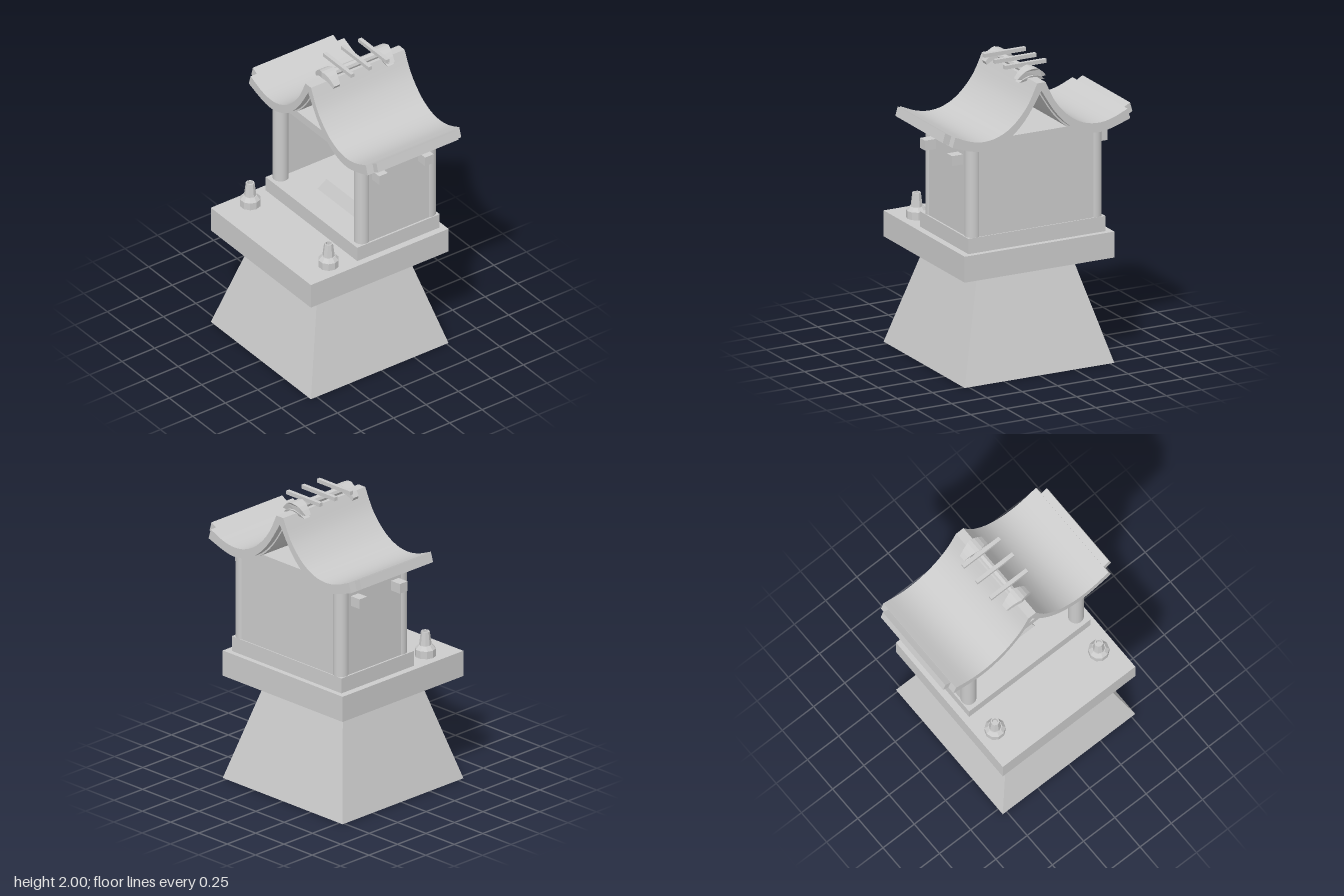
import * as THREE from 'three';
import { mergeVertices, toCreasedNormals } from 'three/addons/utils/BufferGeometryUtils.js';

const mat = new THREE.MeshStandardMaterial({ color: 0xcccccc });
const flat = new THREE.MeshStandardMaterial({ color: 0xcccccc, flatShading: true });

export function createModel() {
  const root = new THREE.Group();
  const add = (name, geo, m = mat) => {
    const mesh = new THREE.Mesh(geo, m);
    mesh.name = name;
    root.add(mesh);
    return mesh;
  };
  // box given by its min and max on each axis
  const box = (name, x0, x1, y0, y1, z0, z1) =>
    add(name, new THREE.BoxGeometry(x1 - x0, y1 - y0, z1 - z0)
      .translate((x0 + x1) / 2, (y0 + y1) / 2, (z0 + z1) / 2));
  // square frustum: half width at the bottom and at the top
  const frustum = (name, x, y0, y1, bottom, top) => {
    const g = new THREE.CylinderGeometry(top * Math.SQRT2, bottom * Math.SQRT2, y1 - y0, 4);
    return add(name, g.rotateY(Math.PI / 4).translate(x, (y0 + y1) / 2, 0), flat);
  };
  // closed outline of [z, y] points, extruded along x
  const extrudeX = (pts, x0, x1) => {
    const shape = new THREE.Shape(pts.map(([z, y]) => new THREE.Vector2(-z, y)));
    const g = new THREE.ExtrudeGeometry(shape, { depth: x1 - x0, bevelEnabled: false });
    return g.rotateY(Math.PI / 2).translate(x0, 0, 0);
  };

  // Pedestal, platform and plinth
  frustum('pedestal', -0.015, 0, 0.69, 0.53, 0.33);
  box('platform', -0.545, 0.515, 0.69, 0.86, -0.53, 0.53);
  box('plinth', -0.155, 0.48, 0.86, 0.96, -0.485, 0.485);
  frustum('innerStep', 0.22, 0.96, 1.04, 0.19, 0.15);

  // Hall: corner posts, three walls, open on the right
  for (const x of [-0.08, 0.43]) {
    for (const z of [-0.43, 0.43]) {
      add('post', new THREE.CylinderGeometry(0.05, 0.05, 0.6, 24).translate(x, 1.26, z));
    }
  }
  for (const s of [-1, 1]) {
    const z = s * 0.453;
    box('sideWall', -0.08, 0.43, 0.96, 1.55, z - 0.02, z + 0.02);
    for (const x of [0, 0.353]) box('beamEnd', x - 0.033, x + 0.033, 1.42, 1.485, s * 0.5 - 0.05, s * 0.5 + 0.05);
  }
  box('endWall', 0.433, 0.473, 0.96, 1.585, -0.43, 0.43);
  box('ceiling', -0.11, 0.44, 1.53, 1.585, -0.42, 0.42);

  // Roof: two sweeping layers, the lower one narrower and longer
  const curve = (pts) => new THREE.SplineCurve(pts.map((p) => new THREE.Vector2(...p)))
    .getPoints(20).map((p) => [p.x, p.y]);
  const roofLayer = (name, over, under, x0, x1) => {
    const top = curve(over), low = curve(under);
    const mirror = (a) => a.map(([z, y]) => [-z, y]);
    const outline = [
      ...top, ...low.slice().reverse(),
      ...mirror(low).slice(1), ...mirror(top).reverse(),
    ];
    add(name, toCreasedNormals(extrudeX(outline, x0, x1), 0.5));
  };
  roofLayer('roof',
    [[0.03, 1.925], [0.1, 1.785], [0.2, 1.675], [0.3, 1.618], [0.4, 1.6], [0.5, 1.615], [0.61, 1.66]],
    [[0, 1.872], [0.1, 1.715], [0.2, 1.612], [0.3, 1.557], [0.4, 1.537], [0.5, 1.552], [0.63, 1.595]],
    -0.18, 0.54);
  roofLayer('roofLining',
    [[0.02, 1.9], [0.1, 1.765], [0.2, 1.655], [0.3, 1.6], [0.4, 1.582], [0.5, 1.602], [0.6, 1.65], [0.655, 1.68]],
    [[0, 1.855], [0.1, 1.7], [0.2, 1.597], [0.3, 1.543], [0.4, 1.525], [0.5, 1.54], [0.6, 1.585], [0.672, 1.62]],
    -0.13, 0.49);

  // Ridge rod with three cross billets
  add('ridgeRod', new THREE.CylinderGeometry(0.025, 0.025, 0.42, 8)
    .rotateZ(Math.PI / 2).translate(0.18, 1.95, 0), flat);
  for (const x of [0.055, 0.192, 0.325]) box('billet', x - 0.013, x + 0.013, 1.975, 2, -0.147, 0.147);

  // Arched ridge caps, thick in the middle and narrow at the tips
  const outer = [], inner = [];
  for (let i = 0; i <= 8; i++) {
    const t = i / 4 - 1;
    outer.push([t * 0.102, 1.987 - 0.065 * t * t]);
    inner.push([t * 0.09, 1.942 - 0.042 * t * t]);
  }
  for (const x of [-0.03, 0.39]) {
    const g = mergeVertices(extrudeX([...outer, ...inner.reverse()], -1, 1));
    const p = g.attributes.position;
    for (let i = 0; i < p.count; i++) {
      p.setX(i, p.getX(i) * (0.022 + 0.026 * (1 - Math.min(1, Math.abs(p.getZ(i)) / 0.1))));
    }
    add('ridgeCap', g.translate(x, 0, 0), flat);
  }

  // Small vases on the open side of the platform
  const profile = (pts) => pts.map((p) => new THREE.Vector2(...p));
  for (const z of [-0.415, 0.415]) {
    const vase = new THREE.Group();
    vase.name = 'vase';
    const base = new THREE.Mesh(new THREE.LatheGeometry(
      profile([[0, 0], [0.066, 0], [0.066, 0.05], [0.044, 0.075], [0, 0.075]]), 10), flat);
    base.name = 'vaseBase';
    const neck = new THREE.Mesh(new THREE.LatheGeometry(
      profile([[0.04, 0.07], [0.028, 0.165], [0.019, 0.165], [0.019, 0.14], [0, 0.14]]), 8), flat);
    neck.name = 'vaseNeck';
    vase.add(base, neck);
    vase.position.set(-0.325, 0.86, z);
    root.add(vase);
  }
  return root;
}
